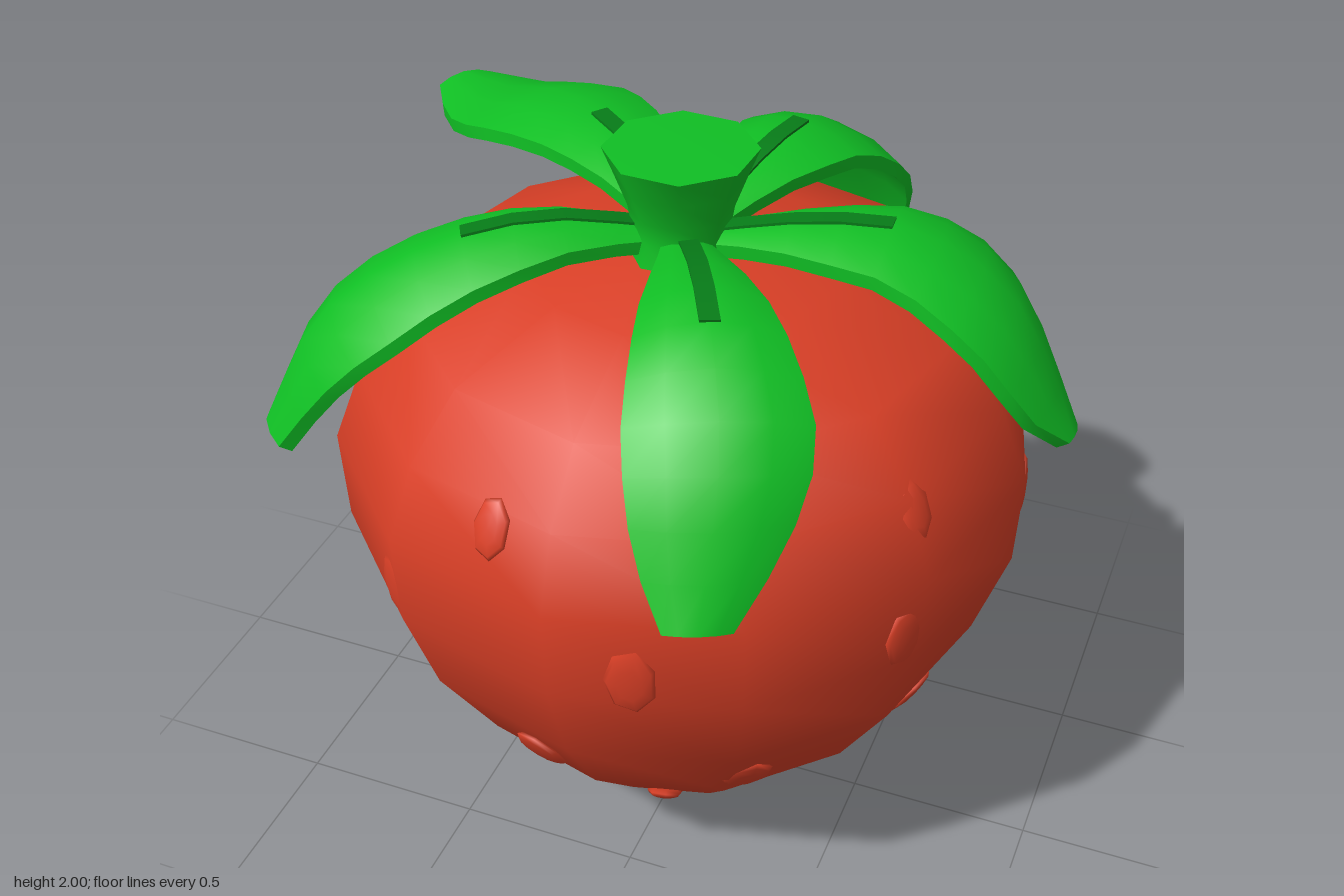
import * as THREE from 'three';
import { toCreasedNormals } from 'three/addons/utils/BufferGeometryUtils.js';

const ROWS = 10;
const CENTER_X = -0.025;

// Piecewise-linear lookup in [[x, value], ...]
function lookup(table, x) {
  for (let i = 1; i < table.length; i++) {
    const [x0, v0] = table[i - 1], [x1, v1] = table[i];
    if (x <= x1) return THREE.MathUtils.lerp(v0, v1, (x - x0) / (x1 - x0));
  }
  return table[table.length - 1][1];
}

// Solid blade swept along a spine: an arched top skin, a bottom skin and end caps
function bladeGeometry(curve, lastRow, halfWidth, arch, above, below) {
  const ends = curve.getPoint(1).sub(curve.getPoint(0)).setY(0).normalize();
  const side = new THREE.Vector3(0, 1, 0).cross(ends);
  const across = [-1, -0.55, 0, 0.55, 1];
  const ring = across.length * 2;
  const pos = [], idx = [];
  for (let i = 0; i <= lastRow; i++) {
    const t = i / ROWS;
    const p = curve.getPointAt(t);
    const normal = curve.getTangentAt(t).cross(side).normalize();
    const w = halfWidth(t);
    const put = (u, lift) => {
      const v = p.clone().addScaledVector(side, u * w)
        .addScaledVector(normal, lift - arch * u * u * w);
      pos.push(v.x, v.y, v.z);
    };
    across.forEach(u => put(u, above));
    [...across].reverse().forEach(u => put(u, -below));
  }
  for (let i = 0; i < lastRow; i++) {
    for (let j = 0; j < ring; j++) {
      const a = i * ring + j, c = i * ring + (j + 1) % ring;
      idx.push(a, a + ring, c, c, a + ring, c + ring);
    }
  }
  const last = lastRow * ring;
  for (let j = 1; j < ring - 1; j++) {
    idx.push(0, j, j + 1, last, last + j + 1, last + j);
  }
  const g = new THREE.BufferGeometry();
  g.setAttribute('position', new THREE.Float32BufferAttribute(pos, 3));
  g.setIndex(idx);
  return toCreasedNormals(g, 0.8);
}

export function createModel() {
  const model = new THREE.Group();
  model.name = 'strawberry';
  const material = (name, color) => {
    const m = new THREE.MeshStandardMaterial({ color });
    m.name = name;
    return m;
  };
  const red = material('berryRed', 0xd93f26);
  const green = material('leafGreen', 0x10bf24);
  const darkGreen = material('ribGreen', 0x077c18);

  const add = (name, geometry, mat, parent = model) => {
    const mesh = new THREE.Mesh(geometry, mat);
    mesh.name = name;
    parent.add(mesh);
    return mesh;
  };

  // Berry body, twelve-sided with smooth shading: [height, radius]
  const profile = [[0.005, 0], [0.03, 0.12], [0.19, 0.41], [0.45, 0.65], [0.71, 0.81],
    [0.97, 0.895], [1.22, 0.905], [1.41, 0.83], [1.57, 0.69], [1.68, 0.4], [1.73, 0.12], [1.735, 0]];
  const body = add('berry', new THREE.LatheGeometry(
    profile.map(([y, r]) => new THREE.Vector2(r, y)), 12), red);
  body.position.x = CENTER_X;

  // Seeds: shallow ovals set into the skin in rings
  const seeds = new THREE.Group();
  seeds.name = 'seeds';
  model.add(seeds);
  const seedGeometry = new THREE.SphereGeometry(1, 7, 6);
  seedGeometry.rotateX(Math.PI / 2);
  const seedRings = [
    { y: 1.37, count: 5, start: -11, size: [0.05, 0.08] },
    { y: 1.05, count: 8, start: -32, size: [0.065, 0.1] },
    { y: 0.55, count: 8, start: -11, size: [0.07, 0.1] },
    { y: 0.2, count: 5, start: 13, size: [0.05, 0.07] },
  ];
  for (const { y, count, start, size } of seedRings) {
    const radius = lookup(profile, y) * 0.98;
    const slope = (lookup(profile, y + 0.05) - lookup(profile, y - 0.05)) / 0.1;
    for (let i = 0; i < count; i++) {
      const a = THREE.MathUtils.degToRad(start + 360 * i / count);
      const seed = add('seed', seedGeometry, red, seeds);
      seed.position.set(CENTER_X + radius * Math.sin(a), y, radius * Math.cos(a));
      seed.lookAt(seed.position.clone().add(new THREE.Vector3(Math.sin(a), -slope, Math.cos(a))));
      seed.scale.set(size[0], size[1], 0.018);
    }
  }

  // Leaves: spine points from the stem to the tip, and half-width at the tip
  const leaves = [
    { name: 'leftLeaf', tip: 0.05, arch: 0.28,
      spine: [[0.03, 1.77, 0.04], [0.3, 1.83, 0.0], [0.53, 1.825, -0.05], [0.76, 1.7, -0.07], [0.97, 1.37, -0.04]] },
    { name: 'frontLeftLeaf', tip: 0.08, arch: 0.28,
      spine: [[0, 1.77, 0.08], [0.13, 1.83, 0.31], [0.24, 1.81, 0.52], [0.34, 1.65, 0.73], [0.36, 1.3, 0.91]] },
    { name: 'frontRightLeaf', tip: 0.1, arch: 0.35,
      spine: [[-0.06, 1.77, 0.05], [-0.32, 1.82, 0.21], [-0.57, 1.76, 0.36], [-0.79, 1.59, 0.47], [-0.93, 1.3, 0.55]] },
    { name: 'backRightLeaf', tip: 0.08, arch: 0.25,
      spine: [[-0.05, 1.77, 0.01], [-0.3, 1.845, -0.23], [-0.55, 1.83, -0.4], [-0.76, 1.75, -0.52], [-0.95, 1.71, -0.63]] },
    { name: 'backLeaf', tip: 0.08, arch: 0.28,
      spine: [[0.01, 1.77, -0.02], [0.08, 1.84, -0.29], [0.12, 1.82, -0.52], [0.16, 1.67, -0.74], [0.21, 1.36, -0.91]] },
  ];
  for (const { name, spine, tip, arch } of leaves) {
    const leaf = new THREE.Group();
    leaf.name = name;
    model.add(leaf);
    const curve = new THREE.CatmullRomCurve3(spine.map(p => new THREE.Vector3(...p)));
    const width = [[0, 0.05], [0.13, 0.085], [0.32, 0.155], [0.58, 0.215], [0.75, 0.205], [0.9, 0.14], [1, tip]];
    add('blade', bladeGeometry(curve, ROWS, t => lookup(width, t), arch, 0.015, 0.02), green, leaf);
    // Dark midrib lying on the inner part of the blade
    add('midrib', bladeGeometry(curve, 4, () => 0.024, 0, 0.021, -0.014), darkGreen, leaf);
  }

  // Flared stem
  const stemProfile = [[0, 1.7], [0.14, 1.7], [0.12, 1.78], [0.13, 1.84], [0.16, 1.92], [0.19, 1.995], [0, 2]];
  const stem = add('stem', toCreasedNormals(new THREE.LatheGeometry(
    stemProfile.map(([r, y]) => new THREE.Vector2(r, y)), 8, Math.PI / 9), 0.9), green);
  stem.position.set(-0.02, 0, 0.045);

  return model;
}
